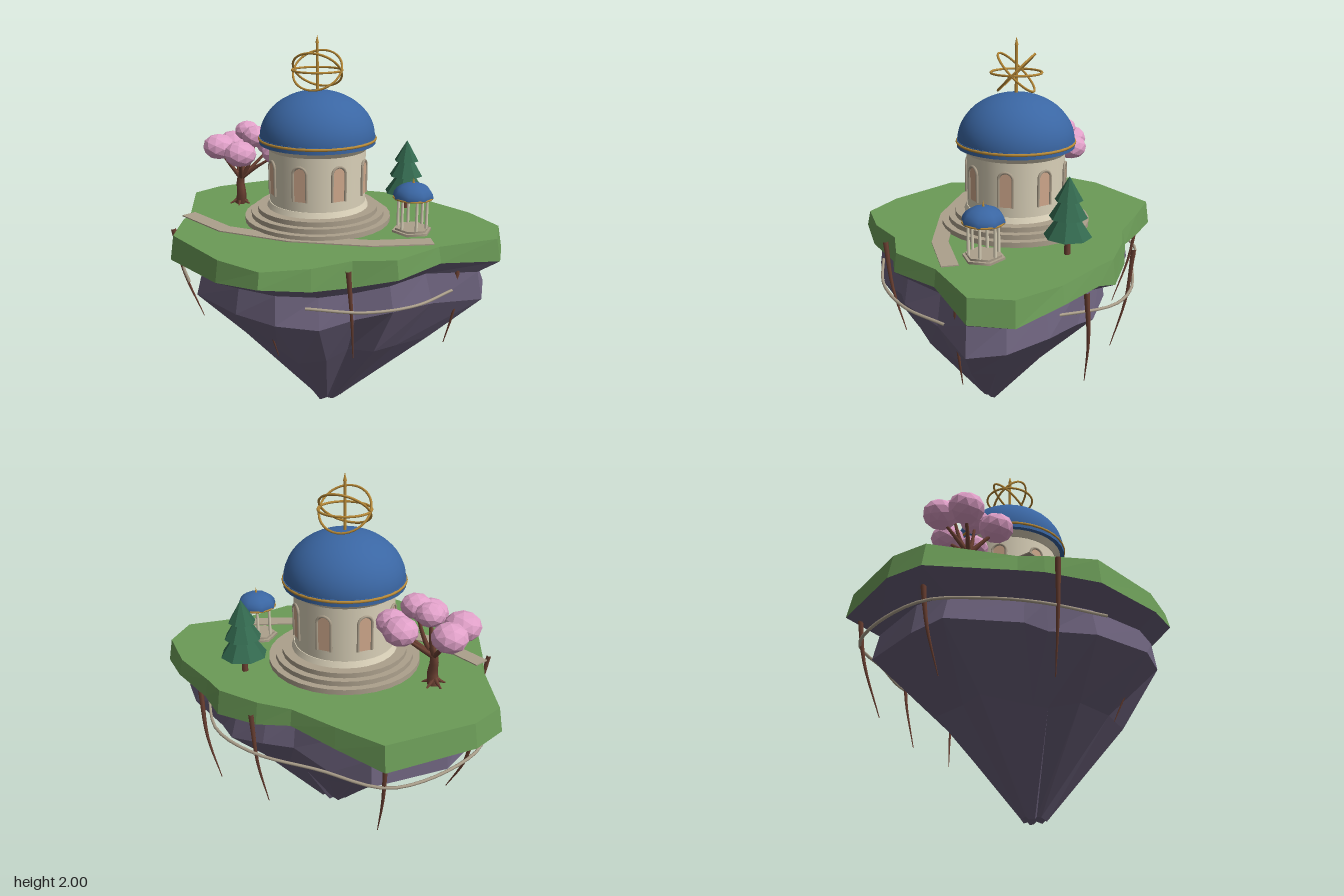
import * as THREE from 'three';

const mat = (name, color, extra = {}) => {
  const m = new THREE.MeshStandardMaterial({ color, ...extra });
  m.name = name;
  return m;
};

export function createModel() {
  const model = new THREE.Group();
  model.name = 'floatingIsland';
  const flat = { flatShading: true };
  const grass = mat('grass', 0x6b9b57, flat);
  const rock = mat('rock', 0x6a607a, flat);
  const blue = mat('domeBlue', 0x3a66a3);
  const cream = mat('cream', 0xd9d0b8);
  const stone = mat('stone', 0xaca08c);
  const gold = mat('gold', 0xb88a38);
  const pane = mat('windowPane', 0xcfa88c);
  const pink = mat('blossom', 0xe0a0c8, flat);
  const bark = mat('bark', 0x6b4032);
  const pine = mat('pine', 0x33694f, flat);

  const add = (parent, name, geo, material, x = 0, y = 0, z = 0) => {
    const m = new THREE.Mesh(geo, material);
    m.name = name;
    m.position.set(x, y, z);
    parent.add(m);
    return m;
  };
  const group = (name, x, y, z) => {
    const g = new THREE.Group();
    g.name = name;
    g.position.set(x, y, z);
    model.add(g);
    return g;
  };
  const cyl = (r1, r2, h, n = 32) => new THREE.CylinderGeometry(r1, r2, h, n);
  const v3 = (p) => new THREE.Vector3(...p);

  // Tube along points whose radius runs from r0 to r1
  const taperedTube = (pts, r0, r1, seg = 10, sides = 6) => {
    const curve = new THREE.CatmullRomCurve3(pts.map(v3));
    const geo = new THREE.TubeGeometry(curve, seg, 1, sides);
    const p = geo.attributes.position;
    for (let i = 0; i < p.count; i++) {
      const t = Math.floor(i / (sides + 1)) / seg;
      const c = curve.getPointAt(t);
      const q = new THREE.Vector3().fromBufferAttribute(p, i).sub(c);
      q.multiplyScalar(r0 + (r1 - r0) * t).add(c);
      p.setXYZ(i, q.x, q.y, q.z);
    }
    return geo;
  };

  // Flat-faced loft through rings listed from top to bottom, with optional caps
  const loft = (rings, capTop, capBottom) => {
    const out = [];
    const n = rings[0].length;
    const tri = (...c) => c.forEach((p) => out.push(...p));
    const mid = (r) => [0, 1, 2].map((k) => r.reduce((s, p) => s + p[k], 0) / n);
    const first = rings[0], last = rings[rings.length - 1];
    for (let i = 0; i < n; i++) {
      const j = (i + 1) % n;
      for (let k = 0; k + 1 < rings.length; k++) {
        const a = rings[k], b = rings[k + 1];
        tri(a[i], a[j], b[j]);
        tri(a[i], b[j], b[i]);
      }
      if (capTop) tri(mid(first), first[j], first[i]);
      if (capBottom) tri(mid(last), last[i], last[j]);
    }
    const geo = new THREE.BufferGeometry();
    geo.setAttribute('position', new THREE.Float32BufferAttribute(out, 3));
    geo.computeVertexNormals();
    return geo;
  };

  // Island: one outline, scaled and shifted for every level
  const outline = [
    [-0.54, -0.78], [-0.28, -0.73], [-0.03, -0.67], [0.15, -0.68], [0.38, -0.65],
    [0.49, -0.58], [0.73, -0.45], [0.92, -0.27], [0.94, -0.06], [0.68, 0.16],
    [0.53, 0.41], [0.33, 0.49], [0.18, 0.65], [-0.03, 0.77], [-0.28, 0.70],
    [-0.66, 0.47], [-0.74, 0.23], [-0.76, 0.11], [-0.94, -0.27], [-0.865, -0.45],
  ];
  const ring = (s, y, dx = 0, dz = 0, wobY = 0, wobR = 0) => outline.map(([x, z], i) => {
    const k = s * (1 + wobR * Math.sin(i * 2.3 + y * 9));
    return [x * k + dx, y + wobY * Math.sin(i * 1.7 + y * 5), z * k + dz];
  });
  const rim = ring(1, 0.925, 0, 0, 0.025);
  add(model, 'grassTop', loft([ring(0.975, 1.03), rim], true, false), grass);
  add(model, 'rockBase', loft([
    rim,
    ring(0.84, 0.865, 0.035, 0.02, 0.02, 0.015),
    ring(0.88, 0.725, 0.04, 0.02, 0.025, 0.015),
    ring(0.575, 0.46, 0.07, 0.045, 0.02, 0.03),
    ring(0.08, 0.01, 0.05, 0.045, 0.01, 0.15),
  ], false, true), rock);

  // Path: a thin ribbon bending across the lawn
  const centre = [[-0.74, 0.13], [-0.44, 0.285], [-0.06, 0.305], [0.345, 0.23], [0.62, 0.1]];
  const side = (s) => centre.map(([x, z], i) => {
    const a = centre[Math.max(i - 1, 0)], b = centre[Math.min(i + 1, centre.length - 1)];
    const l = Math.hypot(b[0] - a[0], b[1] - a[1]);
    return new THREE.Vector2(x - s * (b[1] - a[1]) / l, -(z + s * (b[0] - a[0]) / l));
  });
  const pathShape = new THREE.Shape([...side(0.042), ...side(-0.042).reverse()]);
  const pathGeo = new THREE.ExtrudeGeometry(pathShape, { depth: 0.006, bevelEnabled: false });
  add(model, 'path', pathGeo.rotateX(-Math.PI / 2), stone, 0, 1.03, 0);

  // Rotunda: steps, drum, cornice and dome
  const hall = group('rotunda', -0.055, 1.03, -0.075);
  [0.395, 0.36, 0.325].forEach((r, i) => add(hall, 'step', cyl(r, r, 0.027), stone, 0, 0.0135 + i * 0.026, 0));
  add(hall, 'drum', cyl(0.258, 0.258, 0.36), cream, 0, 0.25, 0);
  add(hall, 'plinth', cyl(0.262, 0.275, 0.03), cream, 0, 0.092, 0);
  add(hall, 'cornice', cyl(0.285, 0.262, 0.03), cream, 0, 0.405, 0);
  add(hall, 'domeRim', cyl(0.308, 0.308, 0.035), blue, 0, 0.438, 0);
  const domeGeo = new THREE.SphereGeometry(0.305, 32, 12, 0, Math.PI * 2, 0, Math.PI / 2);
  add(hall, 'dome', domeGeo, blue, 0, 0.45, 0).scale.y = 0.8;
  const band = add(hall, 'domeBand', new THREE.TorusGeometry(0.306, 0.008, 8, 40), gold, 0, 0.445, 0);
  band.rotation.x = Math.PI / 2;

  // Eight arched windows
  const arch = new THREE.Shape();
  arch.moveTo(-0.035, 0);
  arch.lineTo(0.035, 0);
  arch.lineTo(0.035, 0.145);
  arch.absarc(0, 0.145, 0.035, 0, Math.PI);
  const paneGeo = new THREE.ExtrudeGeometry(arch, { depth: 0.008, bevelEnabled: false, curveSegments: 8 });
  for (let i = 0; i < 8; i++) {
    const w = new THREE.Group();
    w.name = 'window';
    w.rotation.y = i * Math.PI / 4;
    hall.add(w);
    add(w, 'pane', paneGeo, pane, 0, 0.16, 0.253);
    add(w, 'archFrame', new THREE.TorusGeometry(0.037, 0.007, 6, 12, Math.PI), stone, 0, 0.305, 0.261);
    for (const s of [-1, 1]) add(w, 'frameColumn', cyl(0.007, 0.007, 0.145, 8), stone, s * 0.037, 0.2325, 0.261);
  }

  // Ringed sphere ornament above the dome
  add(hall, 'spire', cyl(0.008, 0.008, 0.24, 8), gold, 0, 0.81, 0);
  add(hall, 'spireTip', new THREE.ConeGeometry(0.01, 0.04, 8), gold, 0, 0.95, 0);
  for (const tilt of [Math.PI / 2, Math.PI / 4, -Math.PI / 4]) {
    add(hall, 'ornamentRing', new THREE.TorusGeometry(0.13, 0.006, 6, 40), gold, 0, 0.795, 0).rotation.x = tilt;
  }

  // Small pavilion
  const pavilion = group('pavilion', 0.483, 1.03, -0.028);
  add(pavilion, 'floor', cyl(0.105, 0.105, 0.012, 6), stone, 0, 0.006, 0);
  add(pavilion, 'floorStep', cyl(0.09, 0.09, 0.012, 6), stone, 0, 0.017, 0);
  for (let i = 0; i < 6; i++) {
    const a = i * Math.PI / 3;
    add(pavilion, 'column', cyl(0.007, 0.008, 0.165, 8), cream, 0.075 * Math.cos(a), 0.105, 0.075 * Math.sin(a));
  }
  const roofGeo = new THREE.SphereGeometry(0.106, 8, 5, 0, Math.PI * 2, 0, Math.PI / 2);
  add(pavilion, 'roof', roofGeo, blue, 0, 0.186, 0).scale.y = 0.7;
  add(pavilion, 'roofUnderside', cyl(0.1, 0.1, 0.008, 8), blue, 0, 0.186, 0);
  const trim = add(pavilion, 'roofTrim', new THREE.TorusGeometry(0.1, 0.005, 6, 16), gold, 0, 0.184, 0);
  trim.rotation.x = Math.PI / 2;
  add(pavilion, 'finial', new THREE.ConeGeometry(0.008, 0.035, 6), gold, 0, 0.27, 0);

  // Conifer
  const conifer = group('conifer', 0.352, 1.03, -0.41);
  add(conifer, 'coniferTrunk', cyl(0.012, 0.016, 0.14, 6), bark, 0, 0.07, 0);
  for (const [r, y, h] of [[0.117, 0.095, 0.17], [0.093, 0.19, 0.15], [0.068, 0.275, 0.115]]) {
    add(conifer, 'coniferTier', new THREE.ConeGeometry(r, h, 8), pine, 0, y + h / 2, 0);
  }

  // Blossom tree: bent trunk, roots, and a branch under each cluster
  const tree = group('blossomTree', -0.57, 1.03, -0.17);
  add(tree, 'trunk', taperedTube([[0, -0.01, 0], [0.012, 0.06, 0.005], [0.005, 0.13, 0], [0.02, 0.2, 0]], 0.032, 0.017), bark);
  for (let i = 0; i < 5; i++) {
    const c = Math.cos(i * 1.26), s = Math.sin(i * 1.26);
    add(tree, 'root', taperedTube([[0, 0.04, 0], [0.03 * c, 0.016, 0.03 * s], [0.06 * c, 0, 0.06 * s]], 0.014, 0.004, 5), bark);
  }
  const clusters = [
    [-0.09, 0.325, -0.12, 0.085], [-0.115, 0.328, 0.015, 0.088], [0.015, 0.41, -0.09, 0.068],
    [0.135, 0.33, -0.15, 0.083], [0.11, 0.4, 0, 0.074], [0.07, 0.322, 0.12, 0.086], [0.215, 0.31, -0.035, 0.078],
  ];
  clusters.forEach(([x, y, z, r], i) => {
    const branch = [[0.01, 0.15, 0], [x * 0.45 + 0.005, 0.22, z * 0.45], [x, y - 0.02, z]];
    add(tree, 'branch', taperedTube(branch, 0.014, 0.006, 6), bark);
    const b = add(tree, 'blossomCluster', new THREE.IcosahedronGeometry(r * 1.04, 1), pink, x, y, z);
    b.scale.y = 0.8;
    b.rotation.y = i * 0.8;
  });

  // Roots hanging down the island's sides
  const strands = [
    [[0.32, 1.0, 0.53], [0.32, 0.5, 0.44]],
    [[-0.745, 1.0, 0.29], [-0.61, 0.49, 0.25]],
    [[0.15, 1.0, -0.72], [0.13, 0.43, -0.63]],
    [[0.55, 0.93, -0.53], [0.47, 0.41, -0.53]],
    [[0.74, 0.88, 0.04], [0.69, 0.45, 0.03]],
    [[-0.82, 0.9, -0.3], [-0.69, 0.5, -0.25]],
    [[-0.52, 0.95, -0.72], [-0.45, 0.41, -0.6]],
    [[-0.08, 0.9, 0.62], [-0.07, 0.45, 0.46]],
  ];
  strands.forEach(([a, b]) => {
    const mid = a.map((v, k) => (v + b[k]) / 2 + (k === 1 ? 0 : v * 0.03));
    add(model, 'hangingRoot', taperedTube([a, mid, b], 0.014, 0.002), bark);
  });

  // Vines slung around the rock
  const vines = [
    [[0.14, 0.82, 0.62], [0.4, 0.797, 0.52], [0.6, 0.785, 0.34], [0.73, 0.785, 0.1]],
    [[-0.55, 0.79, 0.48], [-0.74, 0.785, 0.22], [-0.8, 0.8, -0.02], [-0.84, 0.79, -0.3], [-0.55, 0.76, -0.69],
      [-0.18, 0.77, -0.71], [0.15, 0.78, -0.72], [0.4, 0.8, -0.64], [0.62, 0.82, -0.36]],
  ];
  vines.forEach((p) => add(model, 'vine', taperedTube(p, 0.008, 0.008, 40), stone));

  return model;
}
